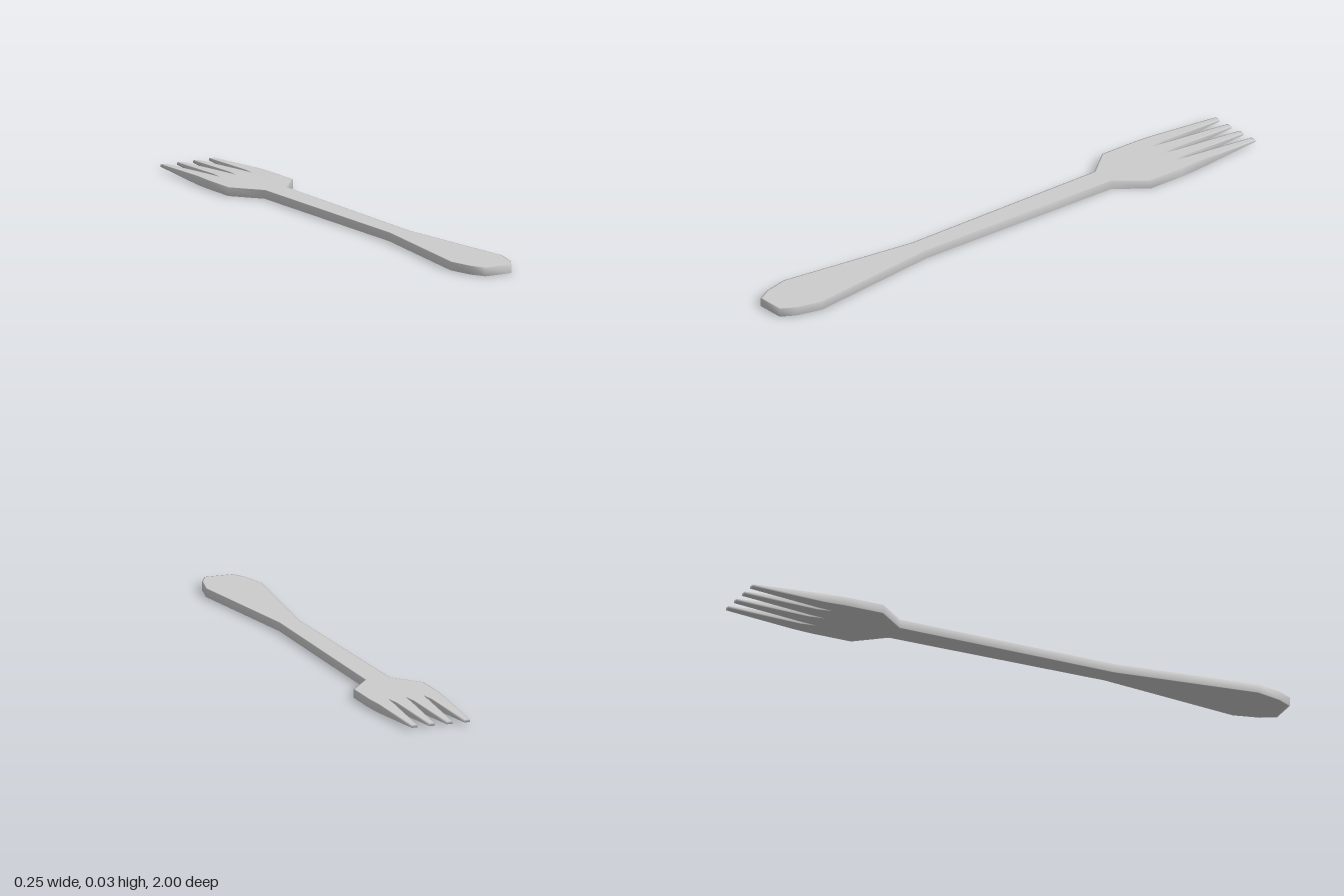
import * as THREE from 'three';
import { mergeVertices } from 'three/addons/utils/BufferGeometryUtils.js';

const THICK = 0.029;
const TINE_START = 0.74; // distance forward where the tines begin to thin
const TINE_COUNT = 4;
const PITCH = 0.0625;

export function createModel() {
  const group = new THREE.Group();
  group.name = 'fork';

  // Half outline from handle end to shoulder: [half width, distance forward]
  const half = [
    [0.05, -1], [0.078, -0.95], [0.1, -0.86], [0.037, -0.36],
    [0.042, 0.18], [0.044, 0.43], [0.125, 0.53], [0.125, 0.67],
  ];
  const points = half.map(([x, y]) => new THREE.Vector2(x, y));

  // Tines, right to left across the head, with sharp gaps between them
  for (let i = 0; i < TINE_COUNT; i++) {
    const c = PITCH * ((TINE_COUNT - 1) / 2 - i);
    points.push(new THREE.Vector2(c + 0.0265, TINE_START));
    points.push(new THREE.Vector2(c + 0.01, 1), new THREE.Vector2(c - 0.01, 1));
    points.push(new THREE.Vector2(c - 0.0265, TINE_START));
    if (i < TINE_COUNT - 1) points.push(new THREE.Vector2(c - PITCH / 2, 0.69));
  }
  half.slice().reverse().forEach(([x, y]) => points.push(new THREE.Vector2(-x, y)));

  // Flat body with a narrow rim on each face, so the smooth shading stays at the edge
  let geometry = new THREE.ExtrudeGeometry(new THREE.Shape(points), {
    depth: THICK, bevelEnabled: true, bevelSegments: 1,
    bevelThickness: 0, bevelSize: 0.005, bevelOffset: -0.005,
  });
  geometry.rotateX(-Math.PI / 2);

  // Thin the tines towards their tips
  const pos = geometry.attributes.position;
  for (let i = 0; i < pos.count; i++) {
    const t = THREE.MathUtils.clamp((-pos.getZ(i) - TINE_START) / (1 - TINE_START), 0, 1);
    const mid = THICK / 2;
    pos.setY(i, mid + (pos.getY(i) - mid) * (1 - 0.72 * t));
  }

  // Weld for smooth normals
  geometry.deleteAttribute('normal');
  geometry.deleteAttribute('uv');
  geometry = mergeVertices(geometry, 1e-5);
  geometry.computeVertexNormals();

  const body = new THREE.Mesh(geometry, new THREE.MeshStandardMaterial({ color: 0xcccccc }));
  body.name = 'forkBody';
  group.add(body);
  return group;
}
